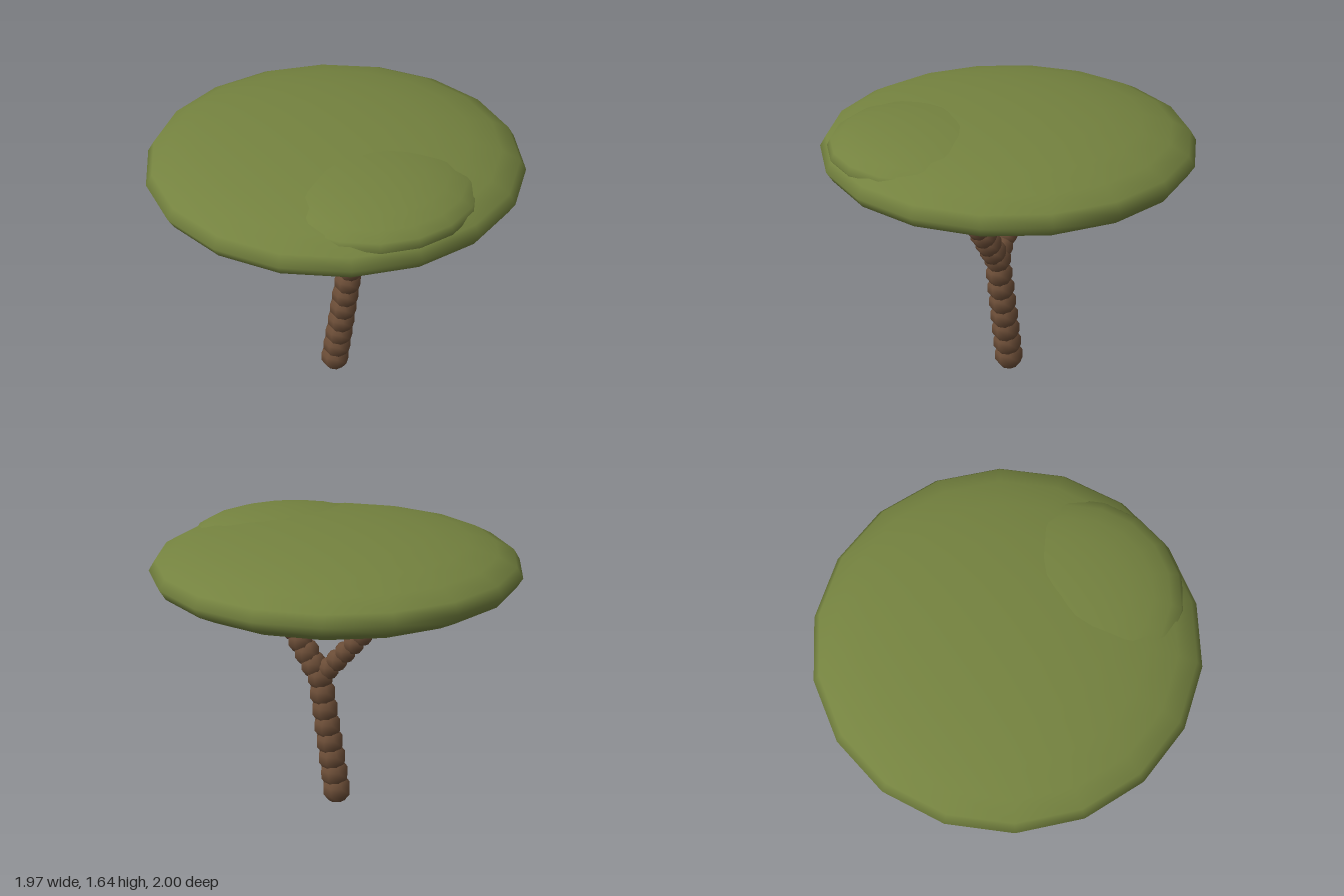
import * as THREE from 'three';

export function createModel() {
  const tree = new THREE.Group();
  tree.name = 'flatCrownTree';

  const bark = new THREE.MeshStandardMaterial({ color: 0x6b4d37 });
  bark.name = 'bark brown';
  const leaf = new THREE.MeshStandardMaterial({ color: 0x74823f });
  leaf.name = 'leaf green';

  // A limb is a chain of low-poly beads tapering from one point to another
  const beadShape = new THREE.SphereGeometry(1, 8, 5);
  function limb(name, from, to, r0, r1, count) {
    const group = new THREE.Group();
    group.name = name;
    const a = new THREE.Vector3(...from), b = new THREE.Vector3(...to);
    for (let i = 0; i < count; i++) {
      const t = i / (count - 1);
      const bead = new THREE.Mesh(beadShape, bark);
      bead.name = name + 'Bead';
      bead.position.lerpVectors(a, b, t);
      bead.scale.setScalar(THREE.MathUtils.lerp(r0, r1, t));
      group.add(bead);
    }
    tree.add(group);
  }
  limb('trunk', [0, 0.085, 0], [0.1, 0.76, 0], 0.085, 0.077, 8);
  limb('leftBranch', [0.1, 0.76, 0], [0.42, 1.29, 0], 0.077, 0.07, 9);
  limb('rightBranch', [0.1, 0.76, 0], [-0.38, 1.3, 0.06], 0.065, 0.054, 11);

  // Flattened leaf pads, turned so a corner points to the front
  function pad(name, r, h, x, y, z, sides, rings) {
    const geometry = new THREE.SphereGeometry(1, sides, rings);
    geometry.rotateY(Math.PI / 2);
    geometry.scale(r, h, r);
    const mesh = new THREE.Mesh(geometry, leaf);
    mesh.name = name;
    mesh.position.set(x, y, z);
    tree.add(mesh);
  }
  pad('canopy', 1, 0.215, 0, 1.425, 0, 18, 12);
  pad('canopyBulge', 0.57, 0.14, 0.35, 1.49, 0.2, 18, 12);

  return tree;
}
